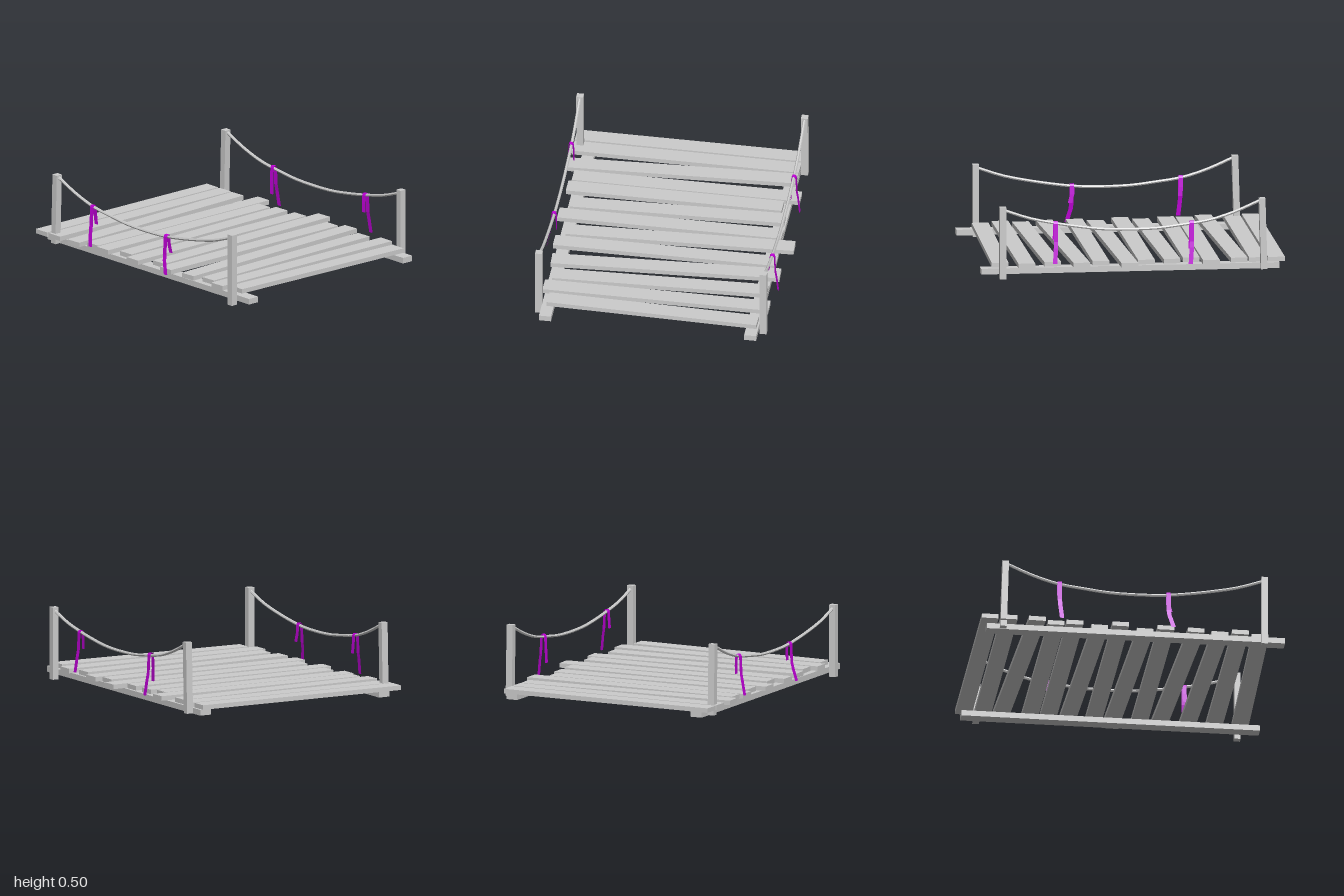
import * as THREE from 'three';

const grey = new THREE.MeshStandardMaterial({ color: 0xcccccc, flatShading: true });
const purple = new THREE.MeshStandardMaterial({ color: 0xc400dc, flatShading: true, side: THREE.DoubleSide });

function box(parent, name, size, pos) {
  const mesh = new THREE.Mesh(new THREE.BoxGeometry(...size), grey);
  mesh.name = name;
  mesh.position.set(...pos);
  parent.add(mesh);
  return mesh;
}

// Flat strip of constant width along z that follows [x, y, z] points
function strip(points, width) {
  const pos = [], index = [];
  points.forEach(([x, y, z], i) => {
    pos.push(x, y, z - width / 2, x, y, z + width / 2);
    if (i) {
      const k = i * 2;
      index.push(k - 2, k - 1, k, k - 1, k + 1, k);
    }
  });
  const geo = new THREE.BufferGeometry();
  geo.setAttribute('position', new THREE.Float32BufferAttribute(pos, 3));
  geo.setIndex(index);
  geo.computeVertexNormals();
  return geo;
}

export function createModel() {
  const bridge = new THREE.Group();
  bridge.name = 'ropeBridge';

  // Crooked deck planks: left end x, right end x, left z, right z
  const planks = [
    [-0.8, 0.7, -0.945, -0.94], [-0.8, 0.7, -0.82, -0.815], [-0.8, 0.7, -0.635, -0.695],
    [-0.75, 0.755, -0.505, -0.505], [-0.77, 0.655, -0.385, -0.385], [-0.72, 0.69, -0.215, -0.255],
    [-0.78, 0.7, -0.085, -0.085], [-0.7, 0.8, 0.085, 0.035], [-0.76, 0.71, 0.215, 0.215],
    [-0.745, 0.755, 0.415, 0.345], [-0.71, 0.7, 0.575, 0.53], [-0.75, 0.74, 0.705, 0.705],
    [-0.7, 0.69, 0.84, 0.875],
  ];
  planks.forEach(([x0, x1, z0, z1]) => {
    const plank = box(bridge, 'plank', [Math.hypot(x1 - x0, z1 - z0), 0.03, 0.11],
      [(x0 + x1) / 2, 0.086, (z0 + z1) / 2]);
    plank.rotation.y = -Math.atan2(z1 - z0, x1 - x0);
  });

  for (const side of [-1, 1]) {
    const postX = side < 0 ? -0.757 : 0.727;

    // Beam under the planks
    box(bridge, 'beam', [0.08, 0.038, 1.96], [side < 0 ? -0.695 : 0.66, 0.046, 0.02]);

    // Upright front post and slightly leaning back post
    box(bridge, 'frontPost', [0.045, 0.478, 0.042], [postX, 0.239, 0.862]);
    const back = box(bridge, 'backPost', [0.045, 0.47, 0.042], [postX, 0.265, -0.847]);
    back.rotation.x = 0.03;

    // Sagging handrail rope
    const sag = [[0.86, 0.458], [0.69, 0.4], [0.53, 0.365], [0.35, 0.335], [0.17, 0.315],
      [-0.14, 0.315], [-0.32, 0.335], [-0.49, 0.36], [-0.66, 0.412], [-0.84, 0.49]];
    const curve = new THREE.CatmullRomCurve3(sag.map(([z, y]) => new THREE.Vector3(postX, y, z)));
    const rope = new THREE.Mesh(new THREE.TubeGeometry(curve, 27, 0.01, 6), grey);
    rope.name = 'rope';
    bridge.add(rope);
  }

  // Ribbons over the ropes: side, z, rope height, outer tail end, inner tail end, kink in z
  const ribbons = [
    [-1, -0.485, 0.36, 0.1, 0.24, 0.012], [-1, 0.23, 0.322, 0.075, 0.21, 0.03],
    [1, -0.378, 0.346, 0.08, 0.17, 0.01], [1, 0.515, 0.362, 0.1, 0.25, 0.008],
  ];
  ribbons.forEach(([side, z, y, outer, inner, kink]) => {
    const x = side < 0 ? -0.757 : 0.727;
    const at = (out, py, dz = 0) => [x + side * out, py, z + dz];
    const path = [
      at(-0.02, inner, kink * 0.5), at(-0.018, (y + inner) / 2), at(-0.014, y), at(-0.007, y + 0.013),
      at(0.007, y + 0.013), at(0.014, y), at(0.02, y - 0.12), at(0.027, y - 0.16, kink * 0.15),
      at(0.04, outer, kink),
    ];
    const ribbon = new THREE.Group();
    ribbon.name = 'ribbon';
    // Two close layers give the cloth a little thickness
    for (const shift of [0, 0.005]) {
      const layer = new THREE.Mesh(strip(path, 0.028), purple);
      layer.name = 'ribbonLayer';
      layer.position.x = side * shift;
      ribbon.add(layer);
    }
    bridge.add(ribbon);
  });

  return bridge;
}
